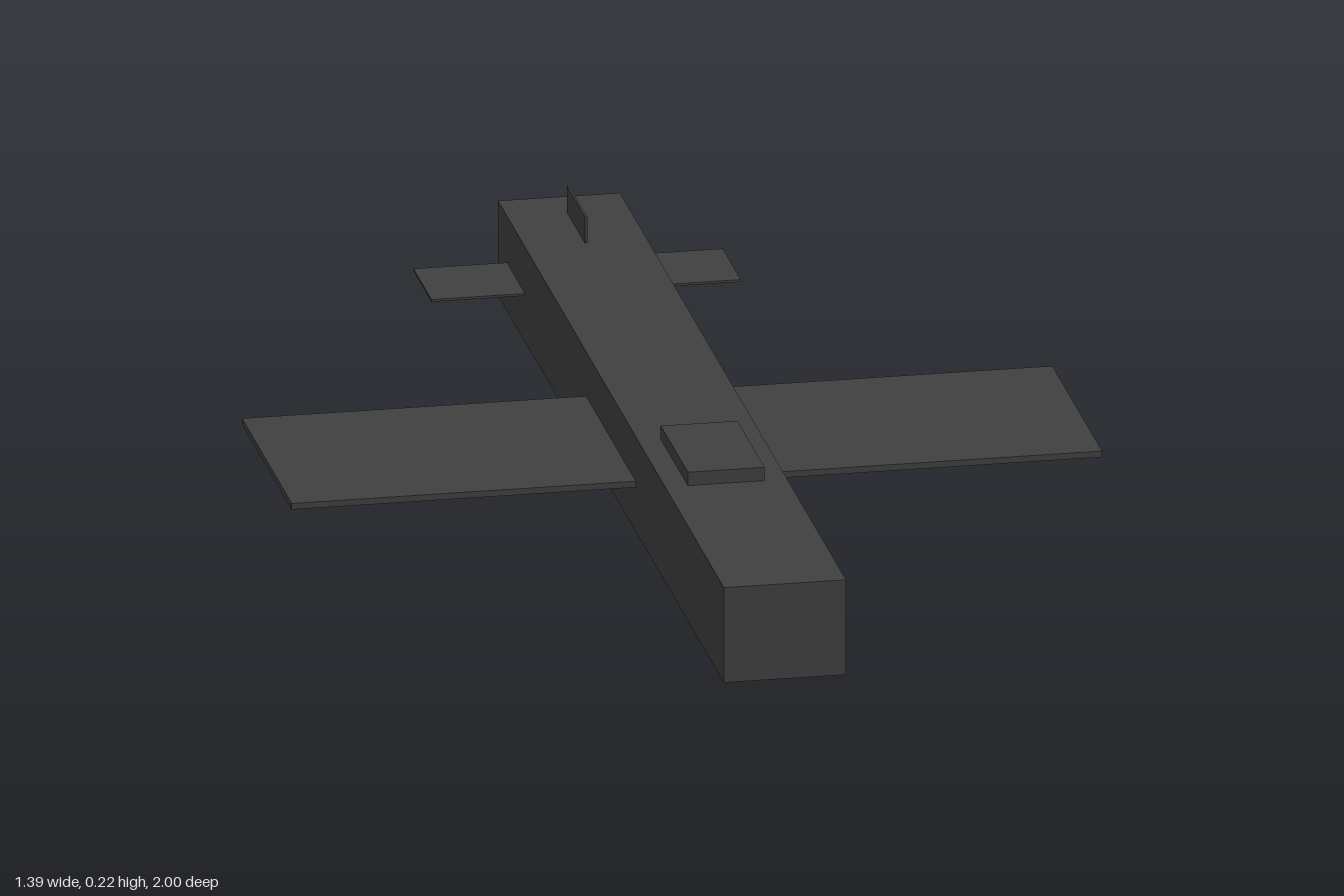
import * as THREE from 'three';

export function createModel() {
  const model = new THREE.Group();
  const material = new THREE.MeshStandardMaterial({ color: 0x404040, flatShading: true });

  // Box given by its size and centre
  const addBox = (name, [w, h, d], [x, y, z]) => {
    const mesh = new THREE.Mesh(new THREE.BoxGeometry(w, h, d), material);
    mesh.name = name;
    mesh.position.set(x, y, z);
    model.add(mesh);
  };

  const bodyWidth = 0.21, bodyHeight = 0.17, midY = 0.085;

  // Body and canopy
  addBox('fuselage', [bodyWidth, bodyHeight, 2], [0, midY, 0]);
  addBox('canopy', [0.132, 0.05, 0.24], [0, 0.169, 0.36]);

  // Wings and tailplane run straight through the body
  addBox('wings', [1.394, 0.011, 0.44], [0, midY, 0]);
  addBox('tailplane', [0.532, 0.004, 0.16], [0, midY, -0.84]);

  // Upright tail fin
  addBox('tailFin', [0.004, 0.107, 0.16], [0, 0.1645, -0.84]);

  return model;
}
